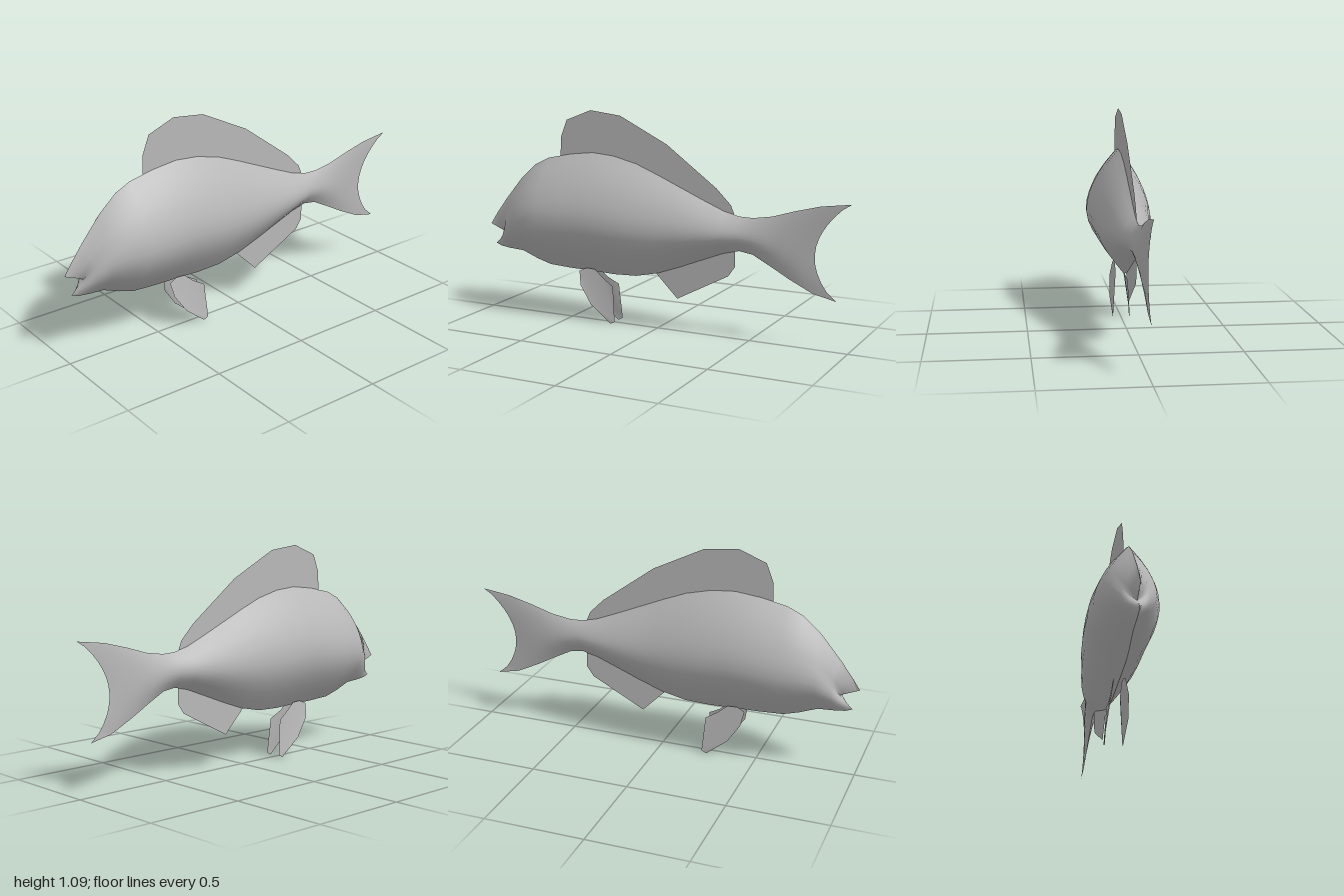
import * as THREE from 'three';

const grey = new THREE.MeshStandardMaterial({ color: 0xb8b8b8, side: THREE.DoubleSide });
grey.name = 'fishGrey';

// Stations from lips to tail: top x, top y, bottom x, bottom y, half width, bow of the column in x
const stations = [
  [-1.0, 0.46, -0.97, 0.355, 0, 0.085],
  [-0.96, 0.52, -0.935, 0.342, 0.035, 0.06],
  [-0.9, 0.6, -0.88, 0.335, 0.066, 0.025],
  [-0.8, 0.72, -0.8, 0.33, 0.108, 0],
  [-0.71, 0.8, -0.71, 0.295, 0.135, 0],
  [-0.63, 0.838, -0.63, 0.272, 0.152, 0],
  [-0.5, 0.865, -0.5, 0.265, 0.16, 0],
  [-0.37, 0.88, -0.37, 0.263, 0.156, 0],
  [-0.25, 0.87, -0.25, 0.258, 0.151, 0],
  [-0.12, 0.838, -0.12, 0.263, 0.14, 0],
  [0.0, 0.79, 0.0, 0.29, 0.122, 0],
  [0.12, 0.738, 0.12, 0.333, 0.108, 0],
  [0.25, 0.682, 0.25, 0.385, 0.09, 0],
  [0.36, 0.637, 0.36, 0.428, 0.068, 0],
  [0.44, 0.618, 0.44, 0.447, 0.046, 0],
  [0.51, 0.616, 0.51, 0.437, 0.036, 0],
  [0.61, 0.632, 0.6, 0.39, 0.028, -0.01],
  [0.72, 0.666, 0.7, 0.335, 0.02, -0.035],
  [0.85, 0.7, 0.82, 0.277, 0.01, -0.075],
  [1.0, 0.72, 0.935, 0.252, 0, -0.14],
];

// Lens section: width fraction at each height fraction, counted from the top ridge
const section = [[0, 0], [0.06, 0.19], [0.13, 0.4], [0.22, 0.62], [0.3, 0.77], [0.38, 0.89], [0.46, 0.97],
  [0.55, 1], [0.64, 0.94], [0.73, 0.79], [0.82, 0.56], [0.91, 0.29], [1, 0]];

function bodySide(side) {
  const pos = [], index = [], rows = section.length;
  stations.forEach(([xt, yt, xb, yb, w, bow], i) => {
    section.forEach(([t, f], j) => {
      // Sharp notch for the mouth, round fork for the tail
      const shape = bow > 0 ? (t < 0.38 ? t / 0.38 : (1 - t) / 0.62) : Math.pow(Math.max(0, Math.sin(Math.PI * t)), 0.75);
      pos.push(xt + (xb - xt) * t + bow * shape, yt + (yb - yt) * t, side * w * f);
      if (i < stations.length - 1 && j < rows - 1) {
        const a = i * rows + j, b = a + 1, c = a + rows, d = c + 1;
        if (side > 0) index.push(a, b, c, b, d, c);
        else index.push(a, c, b, b, c, d);
      }
    });
  });
  const g = new THREE.BufferGeometry();
  g.setAttribute('position', new THREE.Float32BufferAttribute(pos, 3));
  g.setIndex(index);
  g.computeVertexNormals();
  return g;
}

function fin(points) {
  return new THREE.ShapeGeometry(new THREE.Shape(points.map(([x, y]) => new THREE.Vector2(x, y))));
}

export function createModel() {
  const model = new THREE.Group();
  model.name = 'fish';
  const add = (geometry, name) => {
    const mesh = new THREE.Mesh(geometry, grey);
    mesh.name = name;
    model.add(mesh);
  };

  // Body halves, including head and tail, meeting at a sharp ridge
  add(bodySide(1), 'bodyFrontSide');
  add(bodySide(-1), 'bodyBackSide');

  // Upright fins on the centre line, rooted inside the body
  add(fin([[-0.56, 0.84], [-0.555, 0.95], [-0.52, 1.04], [-0.38, 1.095], [-0.21, 1.075], [0.05, 0.945],
    [0.32, 0.745], [0.395, 0.67], [0.42, 0.61], [0.25, 0.66], [0, 0.77], [-0.2, 0.84], [-0.4, 0.86]]), 'dorsalFin');
  add(fin([[-0.02, 0.3], [0.11, 0.17], [0.385, 0.315], [0.42, 0.365], [0.42, 0.46], [0.2, 0.38]]), 'analFin');

  // Paired belly fins, bowed outwards
  for (const side of [1, -1]) {
    const g = fin([[-0.44, 0.262], [-0.425, 0.19], [-0.36, 0.095], [-0.25, 0.004], [-0.225, 0.018],
      [-0.24, 0.2], [-0.3, 0.235], [-0.35, 0.278], [-0.4, 0.28]]);
    const p = g.attributes.position;
    for (let i = 0; i < p.count; i++) {
      const y = p.getY(i);
      const z = y > 0.2 ? 0.045 - (y - 0.2) * 0.3 : 0.042 + 0.008 * Math.sin(Math.PI * y / 0.2);
      p.setZ(i, side * (z - (p.getX(i) > -0.32 && y > 0.1 ? 0.012 : 0)));
    }
    g.computeVertexNormals();
    add(g, side > 0 ? 'leftPelvicFin' : 'rightPelvicFin');
  }
  return model;
}
